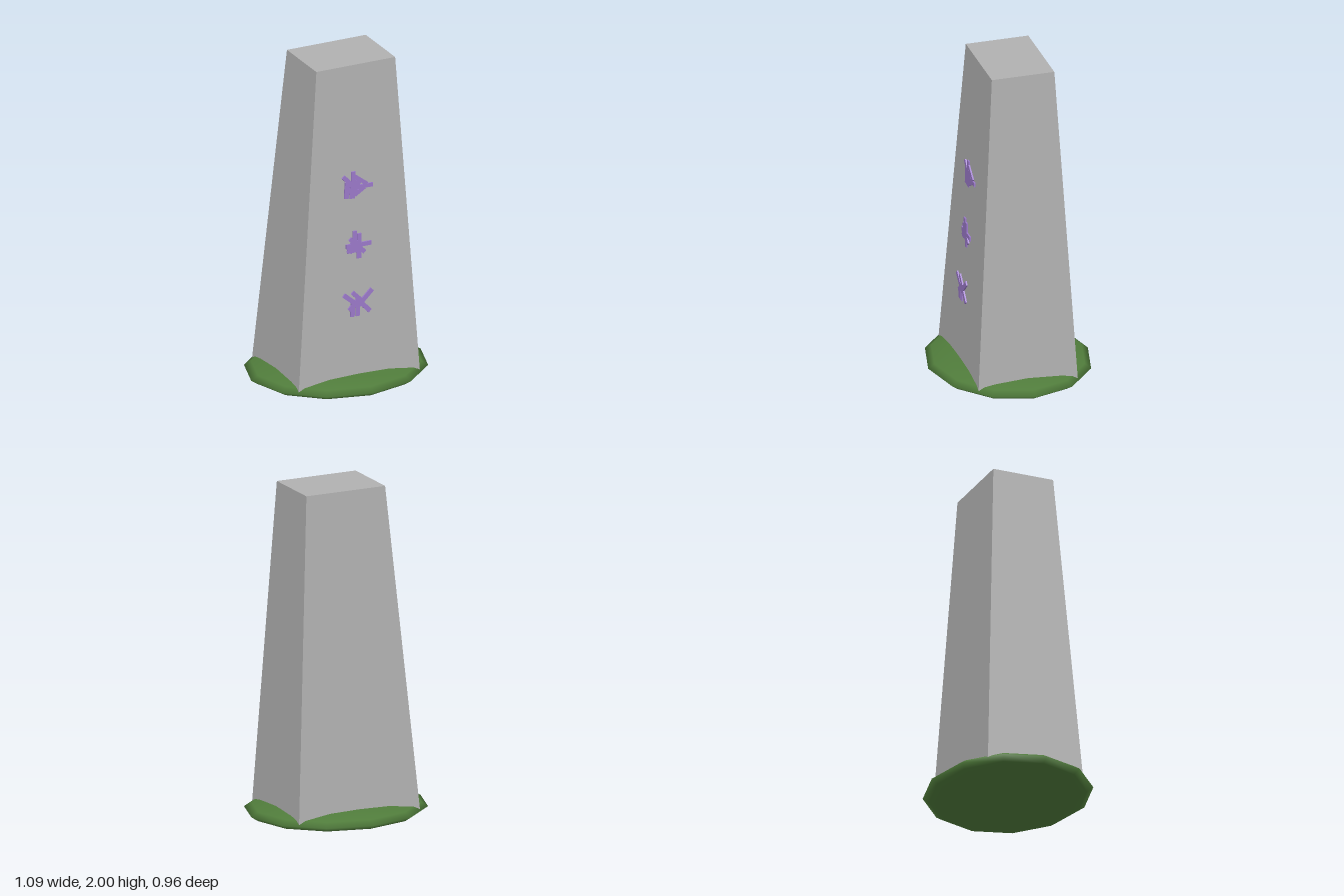
import * as THREE from 'three';

const stone = new THREE.MeshStandardMaterial({ name: 'stone grey', color: 0xb0b0b0 });
const grass = new THREE.MeshStandardMaterial({ name: 'grass green', color: 0x507c3b });
const violet = new THREE.MeshStandardMaterial({ name: 'mark violet', color: 0x9c7acb });

// Tapered block: its top is smaller and shifted slightly off centre
function taperedBlock(y0, y1, bottom, top) {
  const g = new THREE.BoxGeometry(1, 1, 1);
  const p = g.attributes.position;
  for (let i = 0; i < p.count; i++) {
    const up = p.getY(i) > 0;
    const r = up ? top : bottom;
    p.setXYZ(i, p.getX(i) > 0 ? r.x1 : r.x0, up ? y1 : y0, p.getZ(i) > 0 ? r.z1 : r.z0);
  }
  g.computeVertexNormals();
  return g;
}

// Each mark is a fan of thin bars: x0, y0, x1, y1, width
const marks = [
  { name: 'upperMark', y: 1.27, z: 0.235, bars: [
    [-0.007, -0.04, -0.007, 0.09, 0.026], [-0.072, 0.068, -0.01, 0, 0.026],
    [-0.052, -0.07, -0.045, 0.03, 0.03], [-0.015, -0.075, -0.01, 0.03, 0.034],
    [-0.02, -0.045, 0.02, 0.03, 0.05], [0, -0.01, 0.118, -0.01, 0.024],
    [0.0, -0.055, 0.065, -0.015, 0.026], [0.0, 0.06, 0.08, 0.0, 0.024]] },
  { name: 'middleMark', y: 0.91, z: 0.256, bars: [
    [-0.008, -0.04, -0.008, 0.09, 0.026], [0.02, -0.03, 0.02, 0.07, 0.026],
    [-0.065, 0.0, 0.098, 0.0, 0.026], [-0.045, -0.042, -0.01, 0.03, 0.034],
    [-0.055, -0.03, 0.01, -0.03, 0.026], [0.018, -0.083, 0.018, 0.03, 0.028],
    [0.055, -0.05, -0.04, 0.045, 0.026]] },
  { name: 'lowerMark', y: 0.56, z: 0.278, bars: [
    [-0.09, 0.062, 0.0, -0.015, 0.028], [0.092, 0.07, 0.0, -0.02, 0.028],
    [0.078, -0.062, 0.0, 0.02, 0.028], [-0.035, -0.08, -0.03, 0.02, 0.026],
    [0.0, -0.08, 0.0, 0.03, 0.026], [-0.055, -0.04, 0.0, 0.015, 0.03],
    [-0.035, 0.07, 0.02, 0.015, 0.026]] },
];

export function createModel() {
  const model = new THREE.Group();
  model.name = 'standingStone';

  // Flattened grassy mound
  const mound = new THREE.Mesh(new THREE.SphereGeometry(1, 12, 8), grass);
  mound.name = 'grassMound';
  mound.scale.set(0.545, 0.07, 0.48);
  mound.position.y = 0.073;
  model.add(mound);

  // Tapered stone
  const pillar = new THREE.Mesh(taperedBlock(0.07, 2,
    { x0: -0.39, x1: 0.39, z0: -0.3, z1: 0.298 },
    { x0: -0.22, x1: 0.287, z0: -0.19, z1: 0.186 }), stone);
  pillar.name = 'stonePillar';
  model.add(pillar);

  // Column of marks on the front
  for (const m of marks) {
    const group = new THREE.Group();
    group.name = m.name;
    group.position.set(0, m.y, m.z);
    for (const [x0, y0, x1, y1, w] of m.bars) {
      const bar = new THREE.Mesh(
        new THREE.BoxGeometry(Math.hypot(x1 - x0, y1 - y0), w, 0.009), violet);
      bar.name = 'markStroke';
      bar.position.set((x0 + x1) / 2, (y0 + y1) / 2, 0);
      bar.rotation.z = Math.atan2(y1 - y0, x1 - x0);
      group.add(bar);
    }
    model.add(group);
  }
  return model;
}
